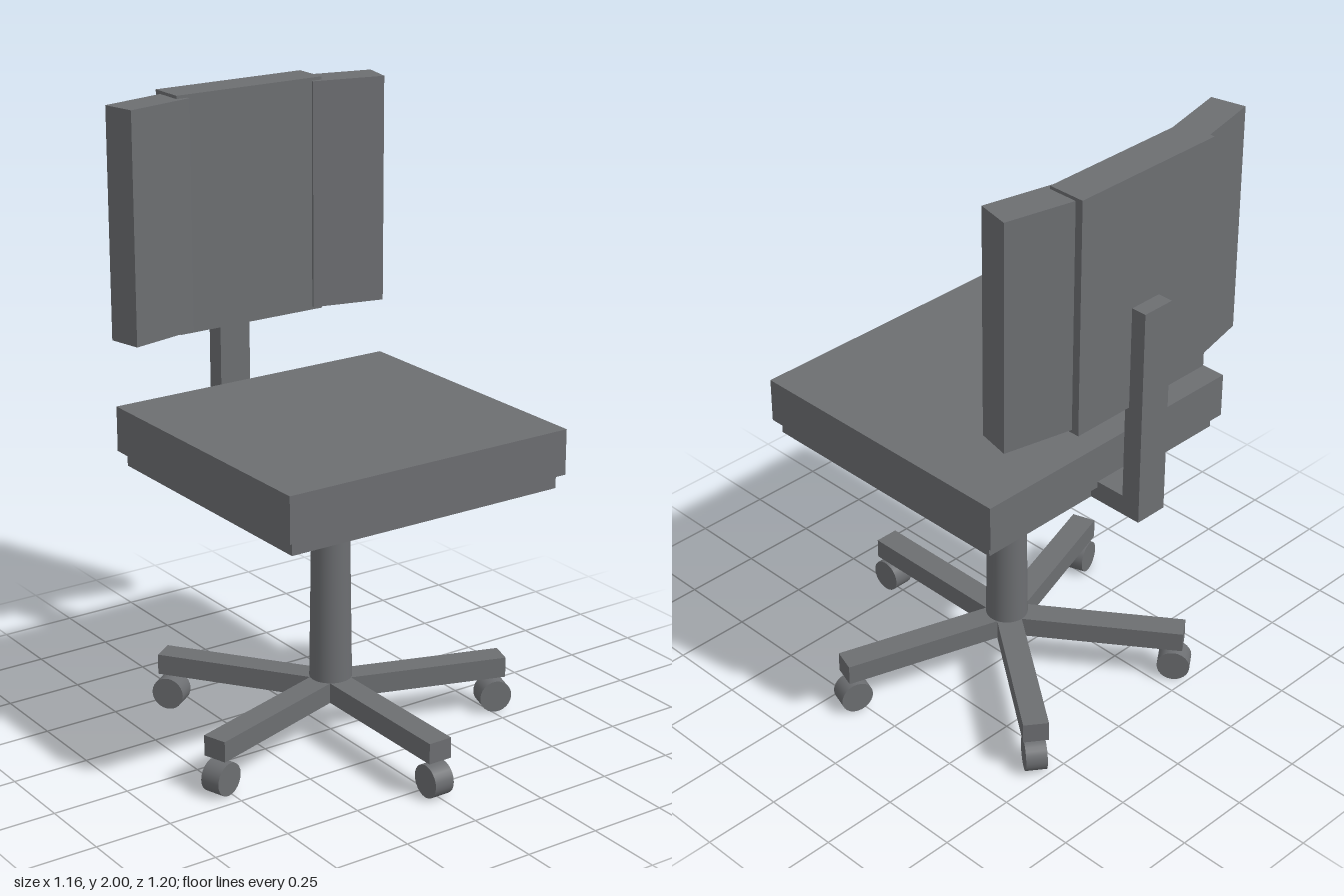
import * as THREE from 'three';

const grey = new THREE.MeshStandardMaterial({ color: 0x6c6e71 });
grey.name = 'charcoal grey';

export function createModel() {
  const chair = new THREE.Group();
  chair.name = 'swivelChair';

  const add = (name, geometry, x = 0, y = 0, z = 0) => {
    const mesh = new THREE.Mesh(geometry, grey);
    mesh.name = name;
    mesh.position.set(x, y, z);
    chair.add(mesh);
    return mesh;
  };
  const polygon = (points) => new THREE.Shape(points.map(([x, y]) => new THREE.Vector2(x, y)));

  // Seat cushion on a slightly smaller base plate
  add('seatCushion', new THREE.BoxGeometry(1, 0.145, 0.955), 0, 0.9875, 0.0425);
  add('seatPlate', new THREE.BoxGeometry(0.96, 0.045, 0.91), 0, 0.8925, 0.045);

  // L-shaped bracket, drawn in side profile (z, y)
  const bracket = new THREE.ExtrudeGeometry(
    polygon([[-0.6, 0.87], [-0.41, 0.87], [-0.41, 0.935], [-0.535, 0.935], [-0.535, 1.58], [-0.6, 1.58]]),
    { depth: 0.11, bevelEnabled: false }
  );
  bracket.translate(0, 0, -0.055).rotateY(-Math.PI / 2);
  add('backBracket', bracket);

  // Backrest: centre panel and two wings angled forward
  add('backCentre', new THREE.BoxGeometry(0.53, 0.75, 0.12), 0, 1.625, -0.49);
  for (const side of [1, -1]) {
    const wing = add(side > 0 ? 'backWingLeft' : 'backWingRight',
      new THREE.BoxGeometry(0.241, 0.73, 0.111), side * 0.355, 1.625, -0.4475);
    wing.rotation.y = -side * 0.222;
  }

  // Tapered column
  add('column', new THREE.CylinderGeometry(0.058, 0.068, 0.7, 32), 0, 0.52, 0);

  // Five-legged star base, outlined in plan (x, z)
  const star = [];
  const half = 0.04, reach = 0.575, notch = half / Math.sin(Math.PI / 5);
  for (let i = 0; i < 5; i++) {
    const a = i * Math.PI * 2 / 5;
    const s = Math.sin(a), c = Math.cos(a), n = a + Math.PI / 5;
    star.push([reach * s - half * c, reach * c + half * s]);
    star.push([reach * s + half * c, reach * c - half * s]);
    star.push([notch * Math.sin(n), notch * Math.cos(n)]);
  }
  const base = new THREE.ExtrudeGeometry(polygon(star), { depth: 0.067, bevelEnabled: false });
  base.rotateX(Math.PI / 2);
  add('starBase', base, 0, 0.19, 0);

  // One caster under the tip of each leg
  const wheel = new THREE.CylinderGeometry(0.053, 0.053, 0.067, 24).rotateZ(Math.PI / 2);
  for (let i = 0; i < 5; i++) {
    const a = i * Math.PI * 2 / 5;
    add('caster' + (i + 1), wheel, 0.547 * Math.sin(a), 0.053, 0.547 * Math.cos(a)).rotation.y = a;
  }

  return chair;
}
